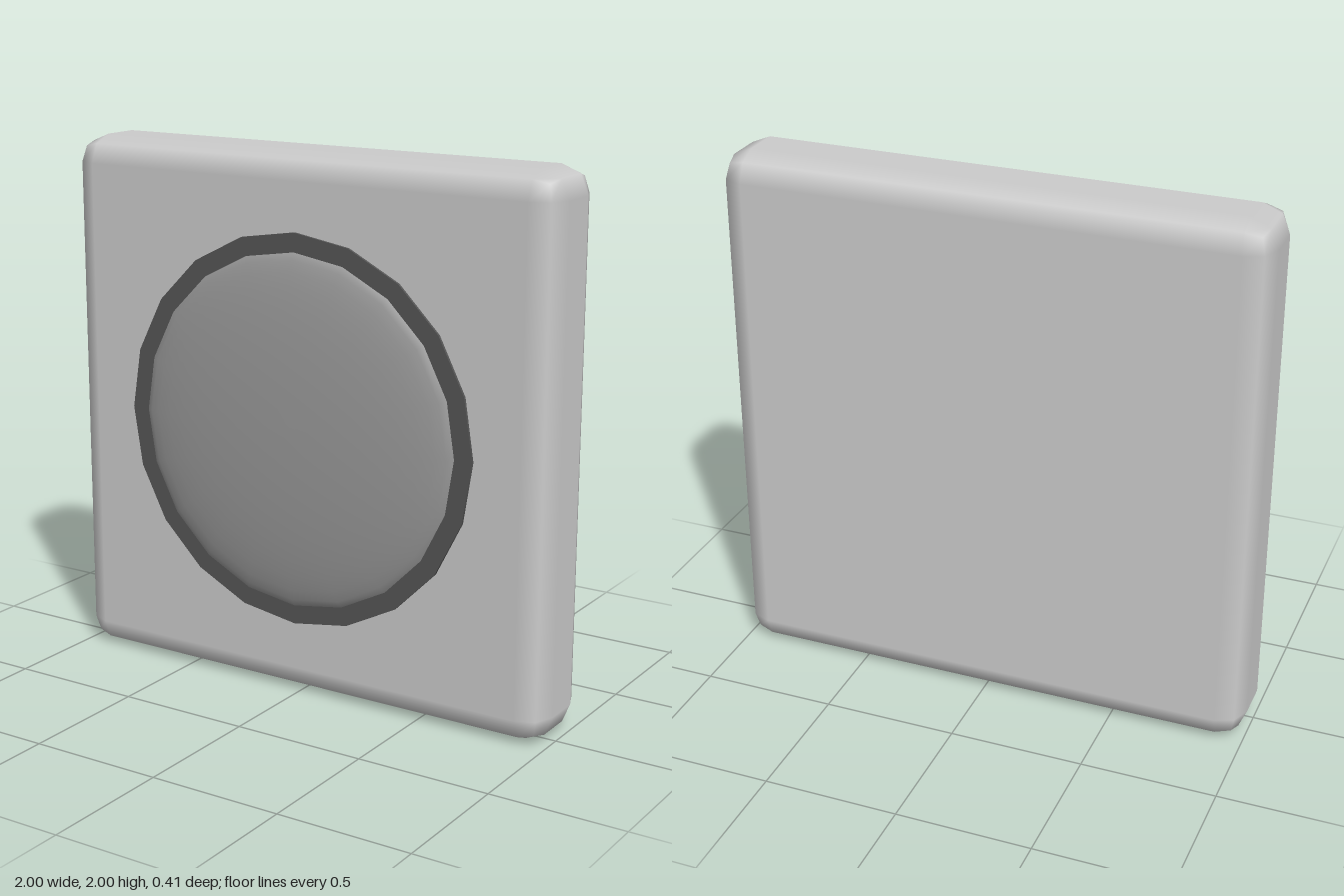
import * as THREE from 'three';
import { RoundedBoxGeometry } from 'three/addons/geometries/RoundedBoxGeometry.js';

const SIDES = 20;
const FRONT = 0.133; // z of the plate's front face

function part(name, geometry, color, y, z) {
  const mesh = new THREE.Mesh(geometry, new THREE.MeshStandardMaterial({ color }));
  mesh.name = name;
  mesh.position.set(0, y, z);
  return mesh;
}

export function createModel() {
  const model = new THREE.Group();
  model.name = 'wallButton';

  // square plate with a single-step rounded edge
  model.add(part('plate', new RoundedBoxGeometry(2, 2, 0.34, 1, 0.1), 0xcccccc, 1, FRONT - 0.17));

  // thin dark disc that shows as a ring around the button
  const disc = new THREE.CylinderGeometry(0.7225, 0.7225, 0.03, SIDES).rotateX(Math.PI / 2);
  model.add(part('ring', disc, 0x555555, 1, FRONT - 0.005));

  // shallow domed button, a flattened half ellipsoid
  const profile = [];
  for (let i = 0; i <= 10; i++) {
    const a = (i / 10) * Math.PI / 2;
    profile.push(new THREE.Vector2(i === 10 ? 0 : 0.66 * Math.cos(a), 0.074 * Math.sin(a)));
  }
  const dome = new THREE.LatheGeometry(profile, SIDES).rotateX(Math.PI / 2);
  model.add(part('button', dome, 0x999999, 1, FRONT));

  return model;
}
